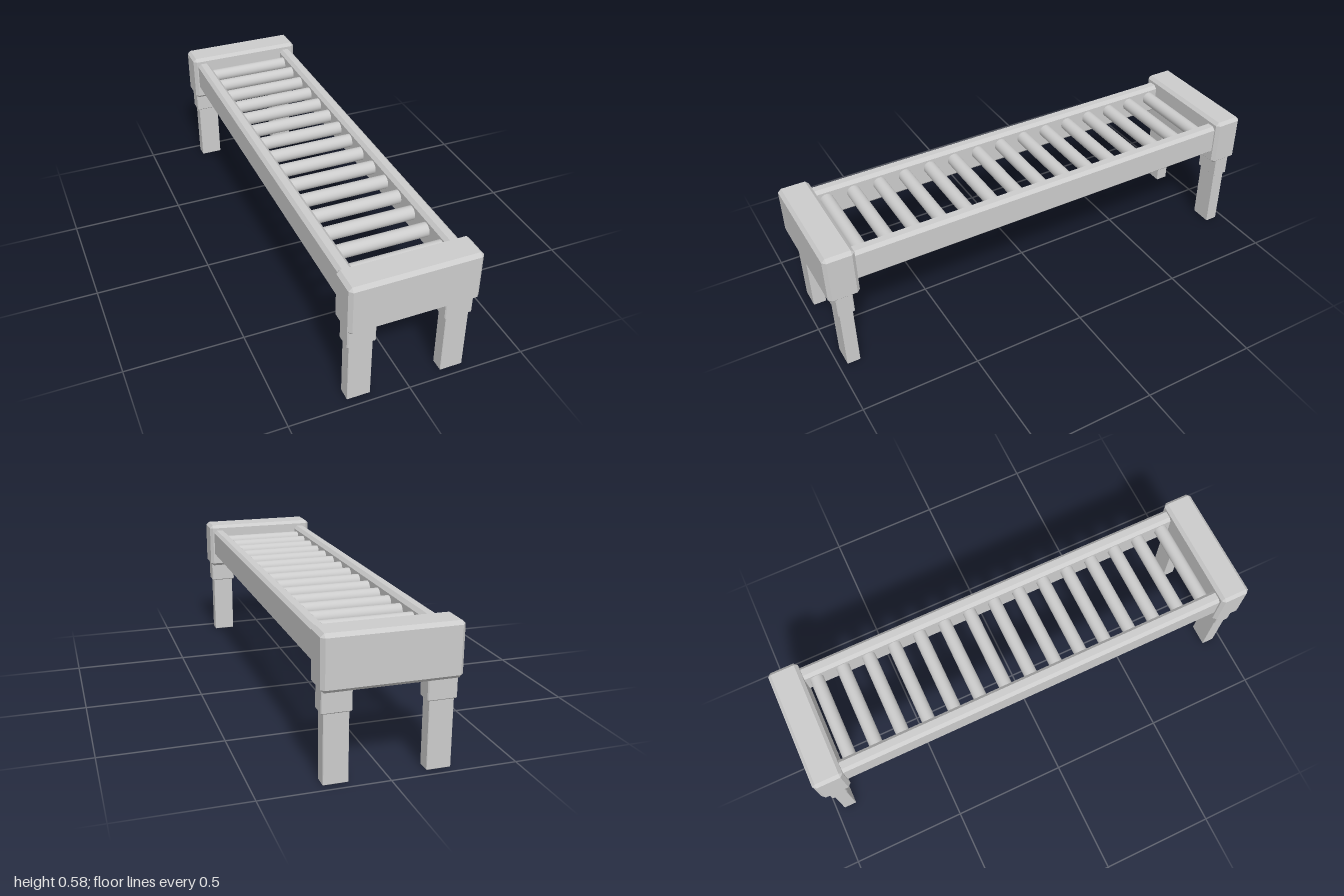
import * as THREE from 'three';
import { ConvexGeometry } from 'three/addons/geometries/ConvexGeometry.js';

const grey = new THREE.MeshStandardMaterial({ color: 0xcccccc });

// Box with every edge chamfered by c
function chamferBox(w, h, d, c) {
  const pts = [];
  for (const sx of [-1, 1]) for (const sy of [-1, 1]) for (const sz of [-1, 1]) {
    const x = sx * w / 2, y = sy * h / 2, z = sz * d / 2;
    pts.push(
      new THREE.Vector3(x, y - sy * c, z - sz * c),
      new THREE.Vector3(x - sx * c, y, z - sz * c),
      new THREE.Vector3(x - sx * c, y - sy * c, z));
  }
  return new ConvexGeometry(pts);
}

function add(parent, name, geometry, x, y, z) {
  const mesh = new THREE.Mesh(geometry, grey);
  mesh.name = name;
  mesh.position.set(x, y, z);
  parent.add(mesh);
  return mesh;
}

export function createModel() {
  const model = new THREE.Group();
  model.name = 'rollerConveyor';

  const endGeo = chamferBox(0.534, 0.215, 0.13, 0.014);
  const sleeveGeo = chamferBox(0.116, 0.105, 0.07, 0.004);
  const legGeo = chamferBox(0.097, 0.3, 0.056, 0.002);
  const railGeo = chamferBox(0.058, 0.138, 1.78, 0.014);

  // End blocks, each on two sleeved legs
  for (const sz of [1, -1]) {
    const end = sz > 0 ? 'front' : 'back';
    add(model, end + 'EndBlock', endGeo, 0, 0.4685, sz * 0.935);
    for (const sx of [1, -1]) {
      const side = sx > 0 ? 'Left' : 'Right';
      add(model, end + side + 'LegSleeve', sleeveGeo, sx * 0.2, 0.3275, sz * 0.937);
      add(model, end + side + 'Leg', legGeo, sx * 0.2, 0.15, sz * 0.937);
    }
  }

  // Side rails
  add(model, 'leftRail', railGeo, 0.218, 0.481, 0);
  add(model, 'rightRail', railGeo, -0.218, 0.481, 0);

  // Rollers between the rails
  const rollers = new THREE.Group();
  rollers.name = 'rollers';
  model.add(rollers);
  const rollerGeo = new THREE.CylinderGeometry(0.029, 0.029, 0.385, 32).rotateZ(Math.PI / 2);
  for (let i = -7; i <= 7; i++) add(rollers, 'roller', rollerGeo, 0, 0.5, i * 0.1175);

  return model;
}
